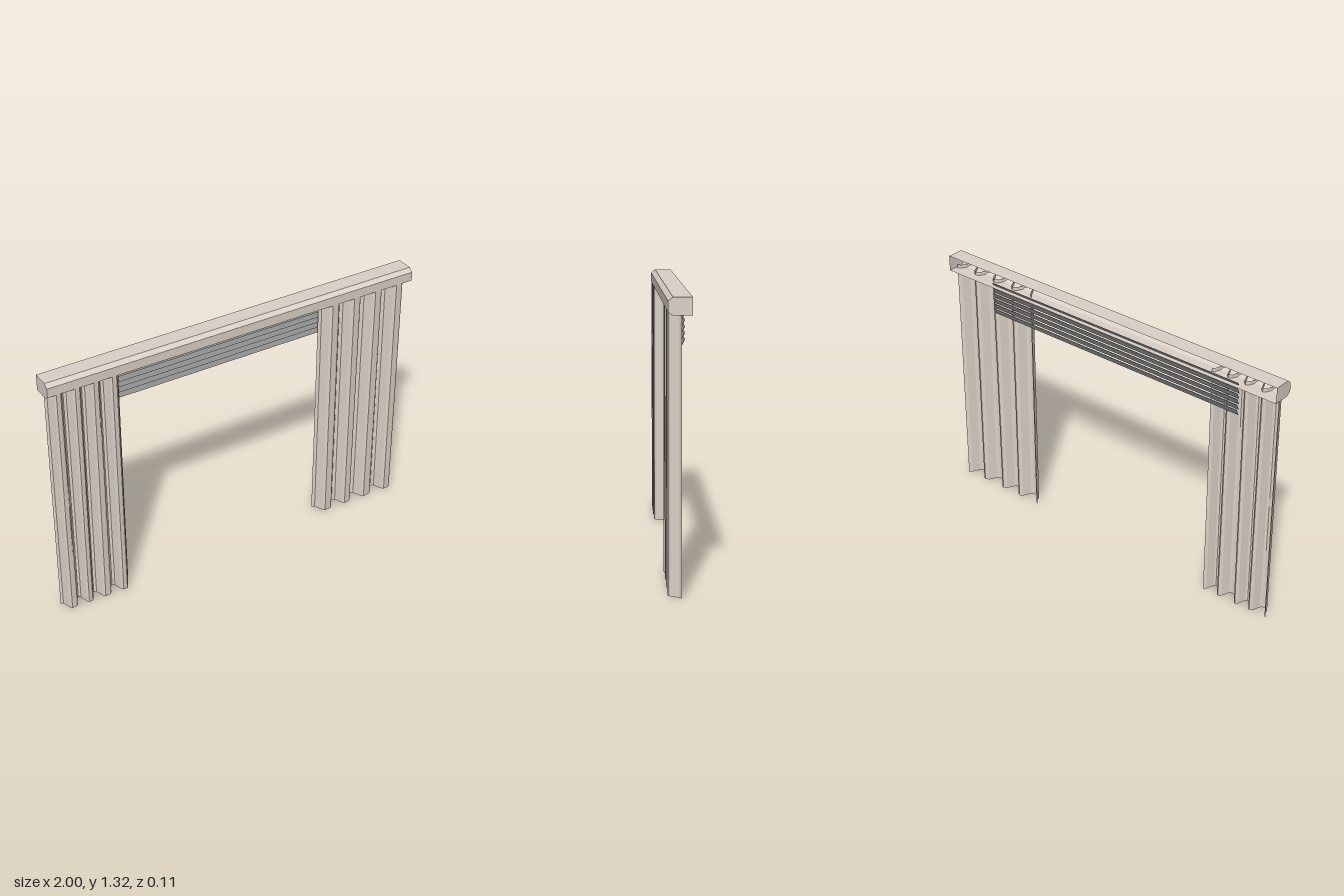
import * as THREE from 'three';

// Flat-faced sheet from rows of cross-section points
function sheet(rows) {
  const pos = [];
  for (let r = 0; r < rows.length - 1; r++) {
    for (let i = 0; i < rows[r].length - 1; i++) {
      const a = rows[r][i], b = rows[r][i + 1];
      const c = rows[r + 1][i + 1], d = rows[r + 1][i];
      pos.push(...a, ...b, ...c, ...a, ...c, ...d);
    }
  }
  const g = new THREE.BufferGeometry();
  g.setAttribute('position', new THREE.Float32BufferAttribute(pos, 3));
  g.computeVertexNormals();
  return g;
}

// One pleat: position along the fold, depth z
const PLEAT = [[0, -0.008], [0.12, 0], [0.27, 0.042], [0.36, 0.052], [0.6, 0.05], [0.7, 0.042], [0.86, 0.002]];

// Pleated curtain whose folds drift slightly down its length
function curtainGeometry(x0, x1, folds) {
  const rows = [];
  const steps = 4;
  for (let r = 0; r <= steps; r++) {
    const v = r / steps;
    const row = [];
    for (let f = 0; f <= folds; f++) {
      for (const [u, z] of f < folds ? PLEAT : [PLEAT[0]]) {
        const t = (f + u) / folds;
        const drift = 0.006 * (1 - v) * Math.sin(t * Math.PI * 3) * Math.sin(t * Math.PI);
        const hem = 0.012 - 0.012 * t;
        row.push([x0 + (x1 - x0) * t + drift, hem + (1.258 - hem) * v, z]);
      }
    }
    rows.push(row);
  }
  return sheet(rows);
}

export function createModel() {
  const model = new THREE.Group();
  model.name = 'windowCovering';
  const fabric = new THREE.MeshStandardMaterial({ color: 0xdbd0c6, side: THREE.DoubleSide });
  fabric.name = 'beige fabric';
  const grey = new THREE.MeshStandardMaterial({ color: 0x959595 });
  grey.name = 'grey slats';

  const add = (parent, name, geometry, material) => {
    const mesh = new THREE.Mesh(geometry, material);
    mesh.name = name;
    parent.add(mesh);
    return mesh;
  };

  // Valance: chamfered channel, open at the back, with end caps
  const valance = new THREE.Group();
  valance.name = 'valance';
  model.add(valance);
  const profile = [[-0.053, 1.24], [0.03, 1.24], [0.053, 1.255], [0.053, 1.302], [0.032, 1.32], [-0.053, 1.32]];
  const section = (x) => profile.map(([z, y]) => [x, y, z]);
  add(valance, 'valanceChannel', sheet([section(-1), section(1)].reverse()), fabric);
  const capShape = new THREE.Shape(profile.map(([z, y]) => new THREE.Vector2(z, y)));
  for (const side of [-1, 1]) {
    const cap = add(valance, side > 0 ? 'leftEndCap' : 'rightEndCap',
      new THREE.ShapeGeometry(capShape).rotateY(-Math.PI / 2), fabric);
    cap.position.x = side;
  }

  // Curtains
  add(model, 'rightCurtain', curtainGeometry(-0.99, -0.615, 4), fabric);
  add(model, 'leftCurtain', curtainGeometry(0.485, 0.99, 4), fabric);

  // Raised blind: overlapping tilted slats
  const blind = new THREE.Group();
  blind.name = 'blind';
  model.add(blind);
  const slat = new THREE.BoxGeometry(1.5, 0.035, 0.002);
  for (let i = 0; i < 6; i++) {
    const mesh = add(blind, 'slat', slat, grey);
    mesh.position.set(-0.03, 1.096 + i * 0.0285, -0.027);
    mesh.rotation.x = -0.45;
  }
  return model;
}
